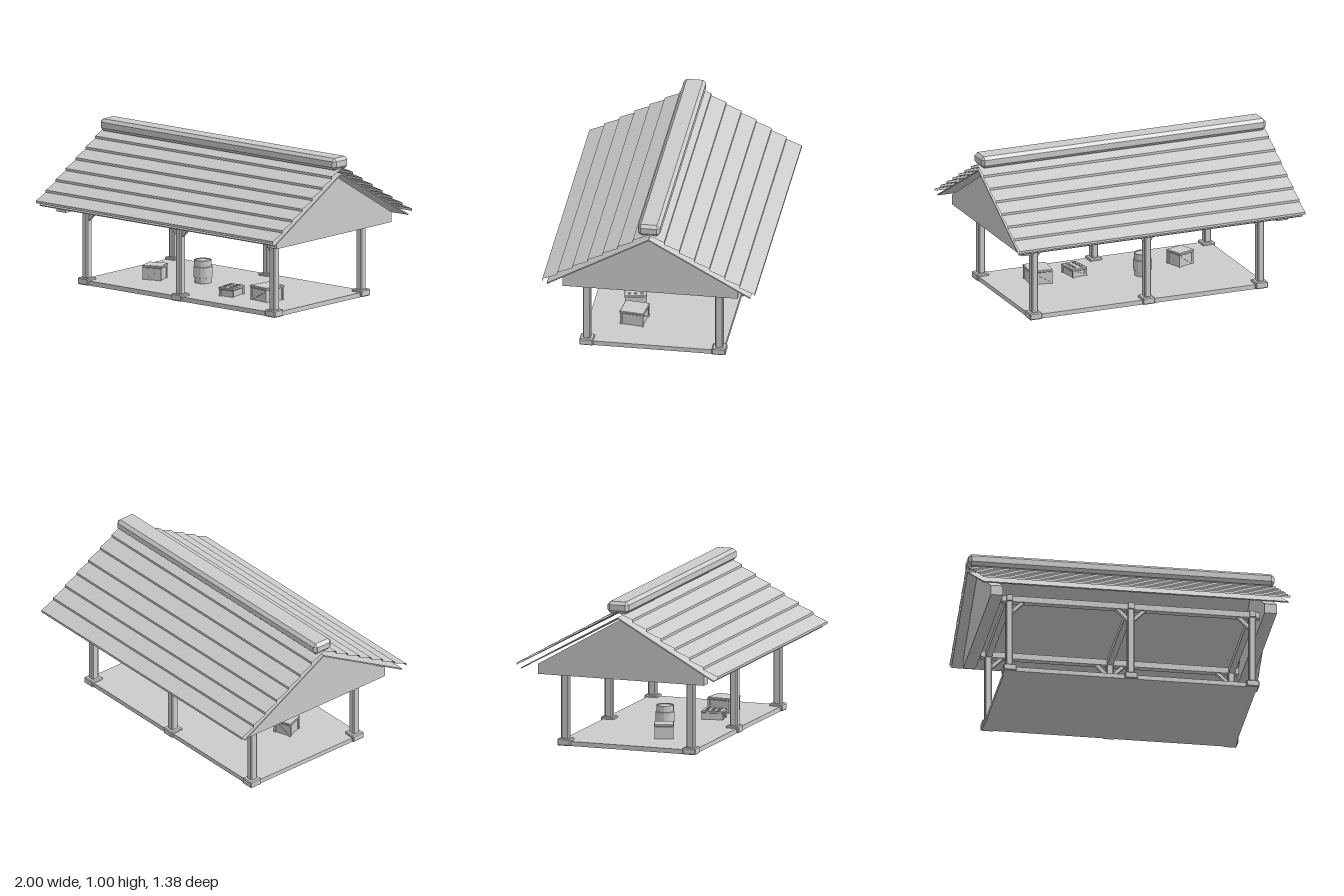
import * as THREE from 'three';
import { ConvexGeometry } from 'three/addons/geometries/ConvexGeometry.js';

const grey = new THREE.MeshStandardMaterial({ color: 0xcccccc, flatShading: true });
const sheet = new THREE.MeshStandardMaterial({ color: 0xcccccc, flatShading: true, side: THREE.DoubleSide });

// Box with every edge cut at 45 degrees
function chamferBox(w, h, d, c) {
  const a = w / 2, b = h / 2, e = d / 2, pts = [];
  for (const x of [-1, 1]) for (const y of [-1, 1]) for (const z of [-1, 1]) {
    pts.push(new THREE.Vector3(x * a, y * (b - c), z * (e - c)));
    pts.push(new THREE.Vector3(x * (a - c), y * b, z * (e - c)));
    pts.push(new THREE.Vector3(x * (a - c), y * (b - c), z * e));
  }
  return new ConvexGeometry(pts);
}

function add(parent, name, geometry, x = 0, y = 0, z = 0, material = grey) {
  const mesh = new THREE.Mesh(geometry, material);
  mesh.name = name;
  mesh.position.set(x, y, z);
  parent.add(mesh);
  return mesh;
}

const box = (w, h, d) => new THREE.BoxGeometry(w, h, d);

// Stepped shingle surface of one slope, from eave to ridge
function shingleGeometry(rows) {
  const profile = [];
  for (let i = 0; i < rows; i++) {
    const z = 0.69 - 0.098 * i, y = 0.543 + 0.0555 * i;
    profile.push([z, y], [z, y + 0.015]);
  }
  profile.push([0, 0.935]);
  const pos = [];
  for (let i = 0; i < profile.length - 1; i++) {
    const [z0, y0] = profile[i], [z1, y1] = profile[i + 1];
    pos.push(-1, y0, z0, 1, y0, z0, 1, y1, z1, -1, y0, z0, 1, y1, z1, -1, y1, z1);
  }
  const g = new THREE.BufferGeometry();
  g.setAttribute('position', new THREE.Float32BufferAttribute(pos, 3));
  g.computeVertexNormals();
  return g;
}

// Crate with an overhanging lid, corner battens and a diagonal on each long side
function crate(name, w, h, d, x, z, turn) {
  const g = new THREE.Group();
  g.name = name;
  add(g, 'crateBody', box(w - 0.012, h - 0.015, d - 0.012), 0, (h - 0.015) / 2, 0);
  add(g, 'crateLid', chamferBox(w + 0.006, 0.016, d + 0.006, 0.003), 0, h - 0.008, 0);
  const run = w - 0.03, rise = h - 0.03;
  for (const s of [-1, 1]) {
    for (const t of [-1, 1]) {
      add(g, 'crateBatten', box(0.014, h - 0.015, 0.014), s * (w / 2 - 0.007), (h - 0.015) / 2, t * (d / 2 - 0.007));
    }
    const brace = add(g, 'crateBrace', box(Math.hypot(run, rise), 0.012, 0.008), 0, (h - 0.015) / 2, s * (d / 2 - 0.004));
    brace.rotation.z = Math.atan2(rise, run);
  }
  g.position.set(x, 0.03, z);
  g.rotation.y = turn;
  return g;
}

export function createModel() {
  const model = new THREE.Group();
  model.name = 'pavilion';

  add(model, 'floorSlab', box(1.64, 0.03, 0.92), 0, 0.015, 0);

  // Posts on footings, with tie beams across
  const postX = [-0.79, 0, 0.79];
  for (const x of postX) {
    for (const z of [-0.43, 0.43]) {
      add(model, 'footing', chamferBox(0.085, 0.045, 0.09, 0.006), x, 0.0225, z);
      add(model, 'post', chamferBox(0.046, 0.47, 0.052, 0.007), x, 0.275, z);
    }
    add(model, 'tieBeam', box(0.04, 0.04, 0.94), x, 0.516, 0);
  }

  // Long plates and angled knee braces
  for (const z of [-0.43, 0.43]) {
    add(model, 'wallPlate', box(1.68, 0.04, 0.045), 0, 0.516, z);
    for (const [x, s] of [[-0.79, 1], [0, -1], [0, 1], [0.79, -1]]) {
      const brace = add(model, 'kneeBrace', box(0.12, 0.022, 0.026), x + s * 0.054, 0.466, z);
      brace.rotation.z = s * Math.PI / 4;
    }
  }

  // Solid gable ends
  const gable = new THREE.Shape([[-0.57, 0.48], [0.57, 0.48], [0.57, 0.545], [0, 0.875], [-0.57, 0.545]]
    .map(([a, b]) => new THREE.Vector2(a, b)));
  const gableGeo = new THREE.ExtrudeGeometry(gable, { depth: 0.08, bevelEnabled: false });
  gableGeo.translate(0, 0, -0.04).rotateY(Math.PI / 2);
  for (const s of [-1, 1]) add(model, 'gableEnd', gableGeo, s * 0.89, 0, 0);

  // Both roof slopes: thin deck with stepped shingles above
  const shingles = shingleGeometry(7);
  const slope = Math.atan2(0.37, 0.66);
  for (const turn of [0, Math.PI]) {
    const side = new THREE.Group();
    side.name = 'roofSlope';
    const deck = add(side, 'roofDeck', box(1.985, 0.008, Math.hypot(0.37, 0.66)), 0, 0.709, 0.33);
    deck.rotation.x = slope;
    add(side, 'shingleRows', shingles, 0, 0, 0, sheet);
    side.rotation.y = turn;
    model.add(side);
  }
  add(model, 'ridgeCap', chamferBox(1.99, 0.078, 0.145, 0.02), 0, 0.961, 0);

  // Stored goods
  model.add(crate('leftCrate', 0.125, 0.095, 0.12, -0.475, 0.125, 0.35));
  model.add(crate('rightCrate', 0.15, 0.095, 0.155, 0.505, 0.165, -0.12));
  const small = crate('smallCrate', 0.105, 0.058, 0.14, 0.235, 0.2, 0.15);
  for (const x of [-0.025, 0.025]) for (const z of [-0.04, 0, 0.04]) {
    add(small, 'crateStud', box(0.02, 0.008, 0.02), x, 0.06, z);
  }
  model.add(small);

  // Barrel with a wider hooped middle
  const profile = [[0, 0.03], [0.054, 0.03], [0.056, 0.066], [0.062, 0.068], [0.062, 0.136],
    [0.056, 0.138], [0.056, 0.18], [0.05, 0.18], [0.05, 0.174], [0, 0.174]]
    .map(([r, y]) => new THREE.Vector2(r, y));
  add(model, 'barrel', new THREE.LatheGeometry(profile, 14), -0.165, 0, 0.015);

  return model;
}
